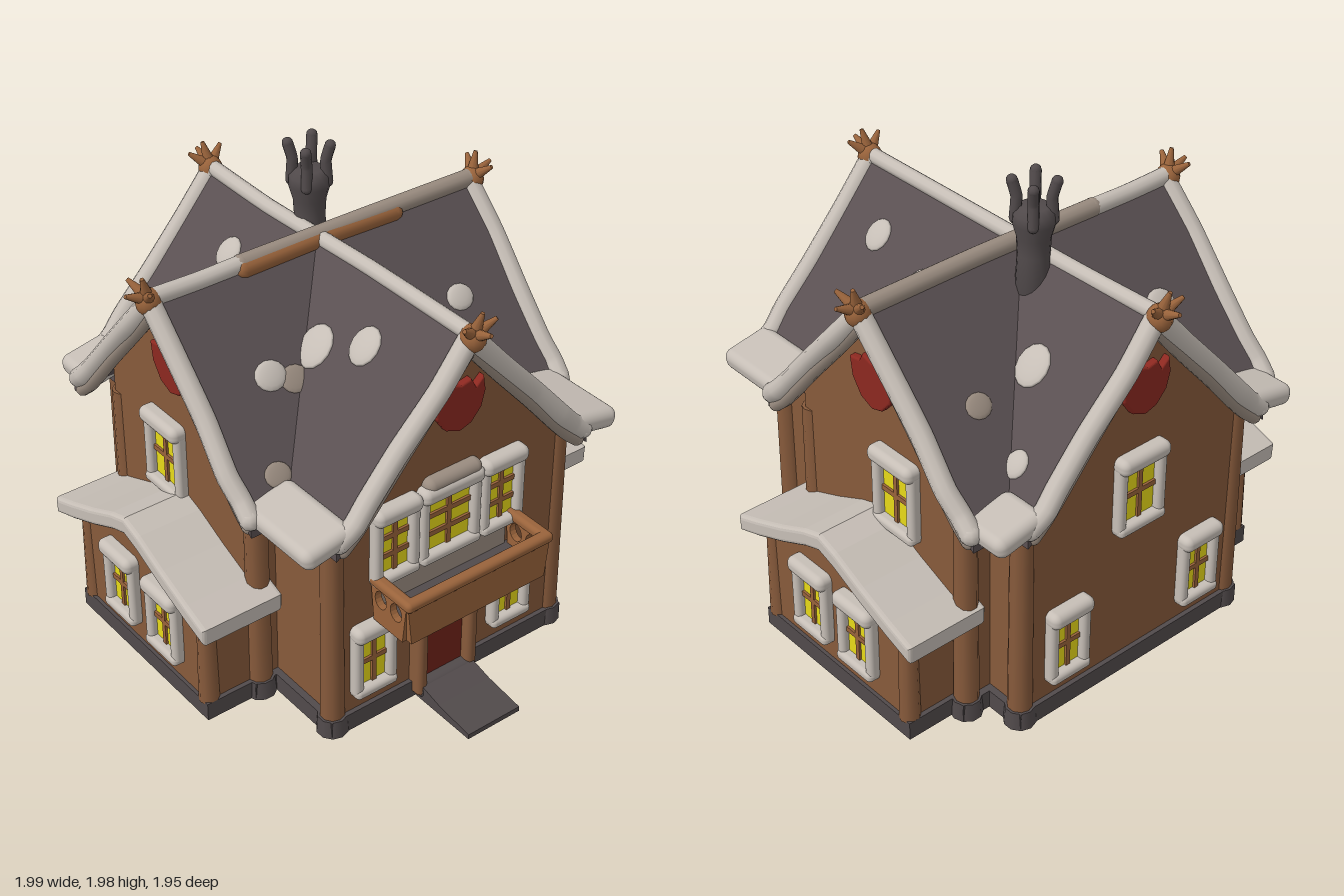
import * as THREE from 'three';
import { RoundedBoxGeometry } from 'three/addons/geometries/RoundedBoxGeometry.js';

const V = (x, y, z) => new THREE.Vector3(x, y, z);
const material = (name, color) => {
  const m = new THREE.MeshStandardMaterial({ color });
  m.name = name;
  return m;
};

const mats = {
  wall: material('brown timber', 0x875a3b),
  trim: material('light timber', 0x99633b),
  roof: material('slate', 0x5a5052),
  stone: material('dark stone', 0x514a4b),
  snow: material('snow', 0xc6beb6),
  frost: material('thin frost', 0x9a8c80),
  glass: material('lit window', 0xfff01c),
  red: material('red emblem', 0x8c2820),
  door: material('red door', 0x702319),
};

function add(parent, name, geometry, mat, pos) {
  const mesh = new THREE.Mesh(geometry, mats[mat]);
  mesh.name = name;
  if (pos) mesh.position.copy(pos);
  parent.add(mesh);
  return mesh;
}
const box = (p, name, mat, w, h, d, x, y, z) =>
  add(p, name, new THREE.BoxGeometry(w, h, d), mat, V(x, y, z));
const soft = (p, name, mat, w, h, d, x, y, z) =>
  add(p, name, new RoundedBoxGeometry(w, h, d, 3, Math.min(w, h, d) * 0.42), mat, V(x, y, z));

// Rounded beam through points, with closed round ends
function beam(parent, name, mat, pts, r) {
  const curve = new THREE.CatmullRomCurve3(pts, false, 'catmullrom', 0.25);
  add(parent, name, new THREE.TubeGeometry(curve, pts.length * 5, r, 10), mat);
  for (const p of [pts[0], pts[pts.length - 1]])
    add(parent, name + 'End', new THREE.SphereGeometry(r, 10, 8), mat, p);
}

const shapeOf = (pts) => new THREE.Shape(pts.map(([x, y]) => new THREE.Vector2(x, y)));
// Outline in x,y extruded from z0 to z1
function prism(pts, z0, z1, bevel = 0) {
  const g = new THREE.ExtrudeGeometry(shapeOf(pts), {
    depth: z1 - z0 - 2 * bevel, bevelEnabled: bevel > 0, bevelSize: bevel,
    bevelThickness: bevel, bevelSegments: 3, steps: 1,
  });
  return g.translate(0, 0, z0 + bevel);
}
// Half profile mirrored to a chevron of constant vertical thickness
function chevron(half, t) {
  const top = [...half.slice(1).reverse().map(([x, y]) => [-x, y]), ...half];
  return [...top, ...top.map(([x, y]) => [x, y - t]).reverse()];
}
// Gable wall starting inside the footing
const gableOutline = (w, eave, apex) => [[-w, 0.04], [w, 0.04], [w, eave], [0, apex], [-w, eave]];

const RIDGE = 1.65, SLOPE = 1.125;
const roofHalf = [[0, RIDGE], [0.55, 1.03], [0.61, 0.985]];

// Window with lit panes, bars, rounded frame and a snowy hood
function addWindow(parent, x, y, w, h, cols = 2, rows = 2) {
  const g = new THREE.Group();
  g.name = 'window';
  g.position.set(x, y, 0);
  parent.add(g);
  box(g, 'windowPanes', 'glass', w, h, 0.008, 0, 0, 0.006);
  for (let i = 1; i < cols; i++)
    box(g, 'windowBar', 'trim', 0.02, h, 0.02, -w / 2 + (w * i) / cols, 0, 0.01);
  for (let i = 1; i < rows; i++)
    box(g, 'windowBar', 'trim', w, 0.022, 0.02, 0, -h / 2 + (h * i) / rows, 0.01);
  for (const s of [-1, 1])
    soft(g, 'windowJamb', 'snow', 0.044, h + 0.06, 0.06, s * (w / 2 + 0.016), 0, 0.012);
  soft(g, 'windowSill', 'snow', w + 0.07, 0.045, 0.07, 0, -h / 2 - 0.018, 0.015);
  soft(g, 'windowHood', 'snow', w + 0.08, 0.07, 0.085, 0, h / 2 + 0.03, 0.02);
}

// Red jagged-topped emblem in the gable
function addEmblem(parent) {
  const pts = [[0, -0.1], [0.05, -0.085], [0.095, -0.035], [0.112, 0.03], [0.105, 0.085], [0.07, 0.05],
    [0.045, 0.095], [0.0, 0.085], [-0.045, 0.1], [-0.06, 0.07], [-0.115, 0.06], [-0.105, -0.01], [-0.06, -0.075]];
  add(parent, 'gableEmblem', prism(pts, 0, 0.035, 0.008), 'red', V(0, 1.305, -0.005));
}

// Clawed finial at a gable tip
function addFinial(parent, z) {
  const g = new THREE.Group();
  g.name = 'gableFinial';
  g.position.set(0, RIDGE - 0.01, z);
  parent.add(g);
  const knob = add(g, 'finialKnob', new THREE.SphereGeometry(0.05, 14, 10), 'trim', V(0, -0.012, 0));
  knob.scale.set(1, 1.1, 1);
  const up = V(0, 1, 0);
  for (const d of [V(0, 0.45, 1), V(0.8, 0.65, 0.4), V(-0.8, 0.65, 0.4), V(0.15, 1, 0.3)]) {
    d.normalize();
    const claw = new THREE.CylinderGeometry(0.008, 0.026, 0.09, 10);
    add(g, 'finialClaw', claw, 'trim', d.clone().multiplyScalar(0.06)).quaternion.setFromUnitVectors(up, d);
  }
}

// Snow-covered verge boards following both gable slopes
function addVerges(parent, z) {
  for (const s of [-1, 1]) {
    const pts = [[0, 1.625], [0.15, 1.455], [0.32, 1.27], [0.46, 1.11], [0.53, 1.035], [0.59, 0.985]]
      .map(([x, y], i) => V(s * x, y, z + 0.006 * Math.sin(i * 2.3 + s)));
    beam(parent, 'vergeSnow', 'snow', pts, 0.042);
    beam(parent, 'vergeFrost', 'frost', pts.map((p) => V(p.x * 0.97, p.y - 0.045, z - 0.008)), 0.03);
  }
}

// Low gabled porch with a thick snow roof
function addAnnex(parent, x, windows) {
  const g = new THREE.Group();
  g.name = 'annex';
  g.position.x = x;
  parent.add(g);
  add(g, 'annexWall', prism(gableOutline(0.43, 0.48, 0.68), -0.1, 0.22), 'wall');
  box(g, 'annexFooting', 'stone', 0.9, 0.08, 0.34, 0, 0.04, 0.065);
  for (const s of [-1, 1])
    add(g, 'annexPost', new THREE.CylinderGeometry(0.035, 0.042, 0.42, 10), 'wall', V(s * 0.41, 0.28, 0.2));
  const half = [[0, 0.72], [0.09, 0.69], [0.24, 0.62], [0.4, 0.555], [0.51, 0.515]];
  add(g, 'annexSnowRoof', prism(chevron(half, 0.04), -0.08, 0.29, 0.018), 'snow');
  const face = new THREE.Group();
  face.name = 'annexWindows';
  face.position.z = 0.22;
  g.add(face);
  for (const wx of windows) addWindow(face, wx - x, 0.315, 0.14, 0.23);
}

function addBalcony(parent) {
  const g = new THREE.Group();
  g.name = 'balcony';
  g.position.x = -0.04;
  parent.add(g);
  const panel = (w, count, pitch) => {
    const s = shapeOf([[-w / 2 + 0.02, 0.5], [w / 2 - 0.02, 0.5], [w / 2, 0.68], [-w / 2, 0.68]]);
    for (let i = 0; i < count; i++) {
      const hole = new THREE.Path();
      hole.absellipse((i - (count - 1) / 2) * pitch, 0.615, pitch * 0.37, 0.04, 0, Math.PI * 2, true);
      s.holes.push(hole);
    }
    return new THREE.ExtrudeGeometry(s, { depth: 0.03, bevelEnabled: false, curveSegments: 8 });
  };
  add(g, 'balconyFront', panel(0.7, 8, 0.076), 'trim', V(0, 0, 0.19));
  for (const s of [-1, 1]) {
    const side = add(g, 'balconySide', panel(0.21, 2, 0.09), 'trim', V(s * 0.335 - 0.015, 0, 0.105));
    side.rotation.y = Math.PI / 2;
    soft(g, 'balconySideRail', 'trim', 0.05, 0.045, 0.24, s * 0.335, 0.68, 0.115);
    const bracket = prism([[0, 0.36], [0.03, 0.4], [0.1, 0.5], [0, 0.5]], -0.025, 0.025);
    add(g, 'balconyBracket', bracket.rotateY(-Math.PI / 2), 'wall', V(s * 0.13, 0, 0));
  }
  soft(g, 'balconyRail', 'trim', 0.72, 0.045, 0.05, 0, 0.68, 0.21);
  box(g, 'balconyFloor', 'stone', 0.66, 0.04, 0.2, 0, 0.52, 0.1);
  box(g, 'frostBehindBalcony', 'frost', 0.62, 0.12, 0.008, 0, 0.6, 0.006);
}

function addDoor(parent) {
  const x = -0.045;
  box(parent, 'door', 'door', 0.2, 0.31, 0.02, x, 0.225, 0.01);
  for (const s of [-1, 1]) soft(parent, 'doorPost', 'wall', 0.05, 0.42, 0.08, x + s * 0.125, 0.23, 0.025);
  soft(parent, 'doorLintel', 'wall', 0.3, 0.06, 0.09, x, 0.405, 0.03);
  soft(parent, 'doorSnow', 'frost', 0.17, 0.07, 0.09, x + 0.02, 0.45, 0.04);
  soft(parent, 'doorStep', 'stone', 0.28, 0.07, 0.08, x, 0.04, 0.035);
  // Stone path sloping down to the ground
  const path = prism([[0, 0], [0.34, 0], [0.34, 0.022], [0.16, 0.045], [0.04, 0.075], [0, 0.08]], -0.13, 0.13);
  add(parent, 'path', path.rotateY(-Math.PI / 2), 'stone', V(x, 0, 0));
}

// Dark chimney with four stout horned prongs
function addChimney(parent) {
  const g = new THREE.Group();
  g.name = 'chimney';
  g.position.set(-0.13, 0, -0.06);
  parent.add(g);
  const profile = [[0, 1.4], [0.075, 1.4], [0.062, 1.66], [0.066, 1.73], [0.083, 1.79], [0.08, 1.83], [0.055, 1.855], [0, 1.85]];
  add(g, 'chimneyStack', new THREE.LatheGeometry(profile.map(([x, y]) => new THREE.Vector2(x, y)), 16), 'stone');
  for (const sx of [-1, 1]) for (const sz of [-1, 1])
    beam(g, 'chimneyProng', 'stone', [V(sx * 0.05, 1.8, sz * 0.05), V(sx * 0.046, 1.89, sz * 0.046), V(sx * 0.058, 1.955, sz * 0.058)], 0.022);
}

// Flat snow patches lying on whichever slope is uppermost
function addPatch(parent, x, z, size, mat) {
  const alongZ = Math.abs(x) < Math.abs(z);
  const u = alongZ ? x : z;
  const n = alongZ ? V(Math.sign(u) * SLOPE, 1, 0) : V(0, 1, Math.sign(u) * SLOPE);
  const p = add(parent, 'roofPatch', new THREE.SphereGeometry(1, 14, 8), mat, V(x, RIDGE - SLOPE * Math.abs(u), z));
  p.scale.set(size, mat === 'snow' ? 0.018 : 0.012, size * 1.15);
  p.quaternion.setFromUnitVectors(V(0, 1, 0), n.normalize());
}

export function createModel() {
  const root = new THREE.Group();
  root.name = 'snowyHouse';
  const house = new THREE.Group();
  house.name = 'house';
  house.position.set(-0.17, 0, 0.03);
  root.add(house);

  // Crossing wings: walls, footing and roof
  const wing = (name, turn, w, eave, back, front, roofBack, roofFront) => {
    const g = new THREE.Group();
    g.name = name;
    g.rotation.y = turn;
    house.add(g);
    add(g, 'wingWall', prism(gableOutline(w, eave, 1.585), back, front), 'wall');
    box(g, 'footing', 'stone', 2 * w + 0.06, 0.08, front - back + 0.04, 0, 0.04, (front + back) / 2);
    add(g, 'wingRoof', prism(chevron(roofHalf, 0.07), roofBack, roofFront), 'roof');
    for (const s of [-1, 1]) for (const z of [back + 0.03, front - 0.03]) {
      add(g, 'cornerPost', new THREE.CylinderGeometry(0.045, 0.05, 0.92, 10), 'wall', V(s * (w - 0.01), 0.5, z));
      add(g, 'postFoot', new THREE.CylinderGeometry(0.06, 0.065, 0.08, 10), 'stone', V(s * (w - 0.01), 0.04, z));
    }
  };
  wing('frontBackWing', 0, 0.46, 1.065, -0.7, 0.67, -0.77, 0.77);
  wing('sideWing', Math.PI / 2, 0.56, 0.955, -0.65, 0.83, -0.72, 0.91);

  // Facades, each with local z pointing outwards
  const facade = (name, turn, wallDist, roofDist) => {
    const g = new THREE.Group();
    g.name = name;
    g.rotation.y = turn;
    house.add(g);
    addVerges(g, roofDist);
    addFinial(g, roofDist + 0.01);
    const face = new THREE.Group();
    face.name = name + 'Wall';
    face.position.z = wallDist;
    g.add(face);
    addEmblem(face);
    return face;
  };
  const front = facade('front', 0, 0.67, 0.76);
  addWindow(front, -0.08, 0.86, 0.17, 0.25);
  addAnnex(front, 0.02, [-0.11, 0.19]);
  const back = facade('back', Math.PI, 0.7, 0.765);
  addWindow(back, 0.11, 0.86, 0.17, 0.25);
  addAnnex(back, -0.02, [-0.15, 0.13]);
  const left = facade('leftSide', Math.PI / 2, 0.83, 0.9);
  for (const [x, w, c] of [[-0.29, 0.14, 2], [-0.03, 0.22, 2], [0.23, 0.14, 2]]) addWindow(left, x, 0.815, w, 0.25, c, 3);
  soft(left, 'windowFrost', 'frost', 0.27, 0.09, 0.08, -0.02, 0.99, 0.012);
  for (const x of [-0.385, 0.3]) addWindow(left, x, 0.31, 0.13, 0.24);
  addBalcony(left);
  addDoor(left);
  const right = facade('rightSide', -Math.PI / 2, 0.65, 0.71);
  addWindow(right, 0, 0.85, 0.17, 0.25);
  for (const x of [-0.35, 0.35]) addWindow(right, x, 0.31, 0.13, 0.24);

  // Ridge caps
  const y = RIDGE - 0.01;
  beam(house, 'sideRidgeSnow', 'snow', [V(-0.7, y, 0), V(-0.3, y - 0.01, 0.004), V(0.3, y, -0.004), V(0.88, y, 0)], 0.032);
  beam(house, 'backRidge', 'frost', [V(0, y, -0.75), V(0.004, y + 0.004, -0.2), V(0, y, 0.36)], 0.038);
  beam(house, 'ridgeTimber', 'trim', [V(0.012, y - 0.015, -0.36), V(0.012, y - 0.008, 0), V(0.012, y - 0.015, 0.36)], 0.04);
  beam(house, 'frontRidgeSnow', 'snow', [V(0, y, 0.34), V(0, y - 0.005, 0.55), V(0, y, 0.75)], 0.036);

  // Snow heaped in the corners between wings
  for (const s of [-1, 1]) for (const [w, x] of [[0.4, 0.73], [0.21, -0.635]])
    soft(house, 'cornerSnow', 'snow', w, 0.09, 0.23, x, 0.995, s * 0.645).rotation.x = s * 0.2;

  // Snow and frost patches, placed relative to the crossing
  for (const [x, z, r] of [[-0.51, -0.48, 0.05], [-0.35, -0.26, 0.075], [0.29, -0.48, 0.055], [0.31, -0.25, 0.08],
    [0.64, -0.18, 0.06], [-0.36, 0.17, 0.06], [-0.3, 0.45, 0.06], [0.3, 0.24, 0.08], [0.51, 0.17, 0.07], [0.29, 0.44, 0.06]])
    addPatch(house, x, z, r, 'snow');
  for (const [x, z, r] of [[-0.33, -0.5, 0.05], [0.41, -0.36, 0.065], [0.54, -0.51, 0.05], [-0.37, 0.33, 0.055],
    [0.32, 0.35, 0.055], [0.52, 0.58, 0.05]])
    addPatch(house, x, z, r, 'frost');

  addChimney(house);
  return root;
}
